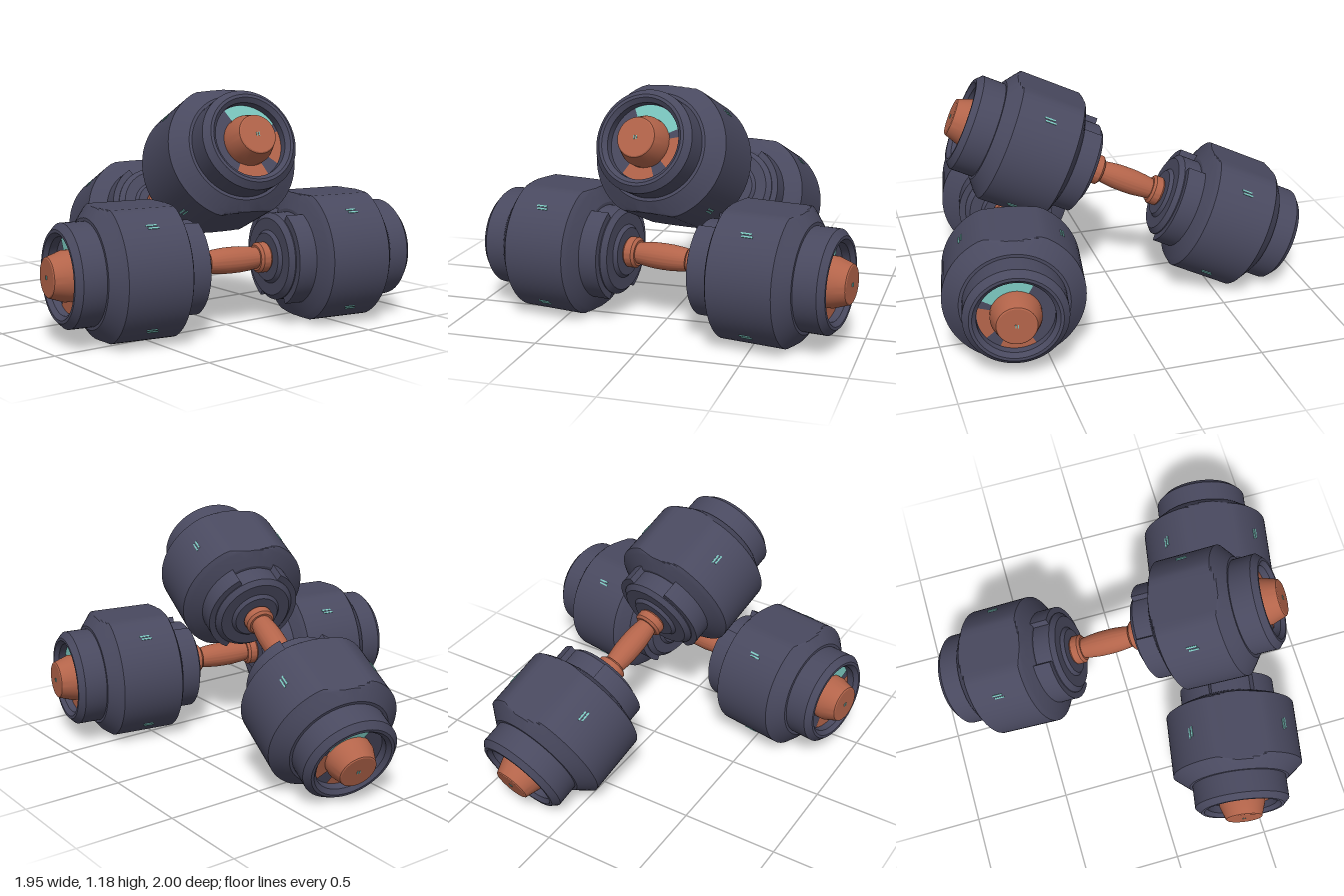
import * as THREE from 'three';
import { toCreasedNormals } from 'three/addons/utils/BufferGeometryUtils.js';

const mat = (name, color) => Object.assign(new THREE.MeshStandardMaterial({ color }), { name });
const rad = THREE.MathUtils.degToRad;

export function createModel() {
  const slate = mat('slate', 0x49495f);
  const copper = mat('copper', 0xb3644a);
  const teal = mat('teal', 0x7cc8c0);

  const add = (parent, name, geometry, material) => {
    const mesh = new THREE.Mesh(geometry, material);
    mesh.name = name;
    parent.add(mesh);
    return mesh;
  };

  // Turned solid around the x axis from [x, radius] pairs; flat trims it above and below
  const turned = (profile, flat = Infinity) => {
    const g = new THREE.LatheGeometry(profile.map(([t, r]) => new THREE.Vector2(r, t)), 64);
    g.rotateZ(-Math.PI / 2);
    const p = g.attributes.position;
    for (let i = 0; i < p.count; i++) p.setY(i, THREE.MathUtils.clamp(p.getY(i), -flat, flat));
    return toCreasedNormals(g, 0.35);
  };

  // Arc-shaped block, drawn in the end plane and extruded along x
  const arcBlock = (r0, r1, from, to, depth) => {
    const s = new THREE.Shape();
    s.absarc(0, 0, r1, rad(from), rad(to), false);
    s.absarc(0, 0, r0, rad(to), rad(from), true);
    const g = new THREE.ExtrudeGeometry(s, { depth, bevelEnabled: false, curveSegments: 20 });
    return toCreasedNormals(g.rotateY(Math.PI / 2), 0.35);
  };

  const weightGeo = turned([
    [0.2, 0], [0.2, 0.12], [0.217, 0.135], [0.217, 0.195], [0.24, 0.22], [0.335, 0.22],
    [0.335, 0.235], [0.35, 0.272], [0.368, 0.315], [0.373, 0.325], [0.379, 0.335], [0.385, 0.345],
    [0.71, 0.345], [0.718, 0.335], [0.726, 0.325], [0.735, 0.315], [0.775, 0.265], [0.775, 0.25],
    [0.89, 0.25], [0.92, 0.22], [0.92, 0.205], [0.9, 0.185], [0.86, 0.185], [0.86, 0],
  ], 0.315);
  const knobGeo = turned([[0.85, 0], [0.85, 0.122], [0.895, 0.122], [0.97, 0.096], [0.974, 0.09], [0.974, 0]]);
  const gripGeo = turned([
    [-0.15, 0.052], [-0.1, 0.06], [-0.05, 0.065], [0, 0.066], [0.05, 0.065], [0.1, 0.06], [0.15, 0.052],
  ]);
  const collarGeo = turned([
    [0.14, 0], [0.14, 0.064], [0.152, 0.077], [0.19, 0.077], [0.202, 0.066], [0.23, 0.066],
  ]);

  // One weight with its dial; mirrored reverses the dial colours' direction
  function makeWeight(name, mirrored) {
    const w = new THREE.Group();
    w.name = name;
    add(w, 'weightBody', weightGeo, slate);
    add(w, 'endKnob', knobGeo, copper);
    add(w, 'gripCollar', collarGeo, copper);

    // locking tabs on the inner face, open at top and bottom
    for (const a of [0, 180]) {
      add(w, 'lockingTab', arcBlock(0.19, 0.253, a - 62, a + 62, 0.1), slate).position.x = 0.245;
    }

    // coloured dial segments in the recessed end
    for (const [from, to, m] of [[60, 153, teal], [166, 220, copper], [245, 300, copper]]) {
      const start = mirrored ? 180 - to : from;
      const ring = new THREE.RingGeometry(0.12, 0.182, 24, 1, rad(start), rad(to - from));
      add(w, 'dialSegment', ring.rotateY(Math.PI / 2), m).position.x = 0.865;
    }

    // paired index stripes on the four rounded corners
    for (let k = 0; k < 4; k++) {
      const corner = new THREE.Group();
      corner.name = 'indexMark';
      corner.rotation.x = Math.PI / 4 + k * Math.PI / 2;
      for (const s of [-1, 1]) {
        const stripe = add(corner, 'indexStripe', new THREE.BoxGeometry(0.055, 0.005, 0.008), teal);
        stripe.position.set(0.548 + s * 0.004, 0.3455, s * 0.008);
      }
      w.add(corner);
    }

    // tiny pointer on the knob
    for (const s of [-1, 1]) {
      add(w, 'knobPointer', new THREE.BoxGeometry(0.004, 0.018, 0.005), teal).position.set(0.975, 0, s * 0.006);
    }
    if (mirrored) w.rotation.y = Math.PI;
    return w;
  }

  function makeDumbbell(name) {
    const d = new THREE.Group();
    d.name = name;
    add(d, 'grip', gripGeo, copper);
    d.add(makeWeight('leftWeight', false), makeWeight('rightWeight', true));
    return d;
  }

  const model = new THREE.Group();
  model.name = 'dumbbellPair';

  // one dumbbell flat on the floor
  const lying = makeDumbbell('lyingDumbbell');
  lying.position.set(0, 0.335, 0.535);
  lying.rotation.y = rad(-10);

  // the other leaning across its grip
  const leaning = makeDumbbell('leaningDumbbell');
  leaning.position.set(0.1, 0.59, -0.08);
  leaning.rotation.set(0, rad(80), rad(-24), 'YXZ');

  model.add(lying, leaning);
  return model;
}
